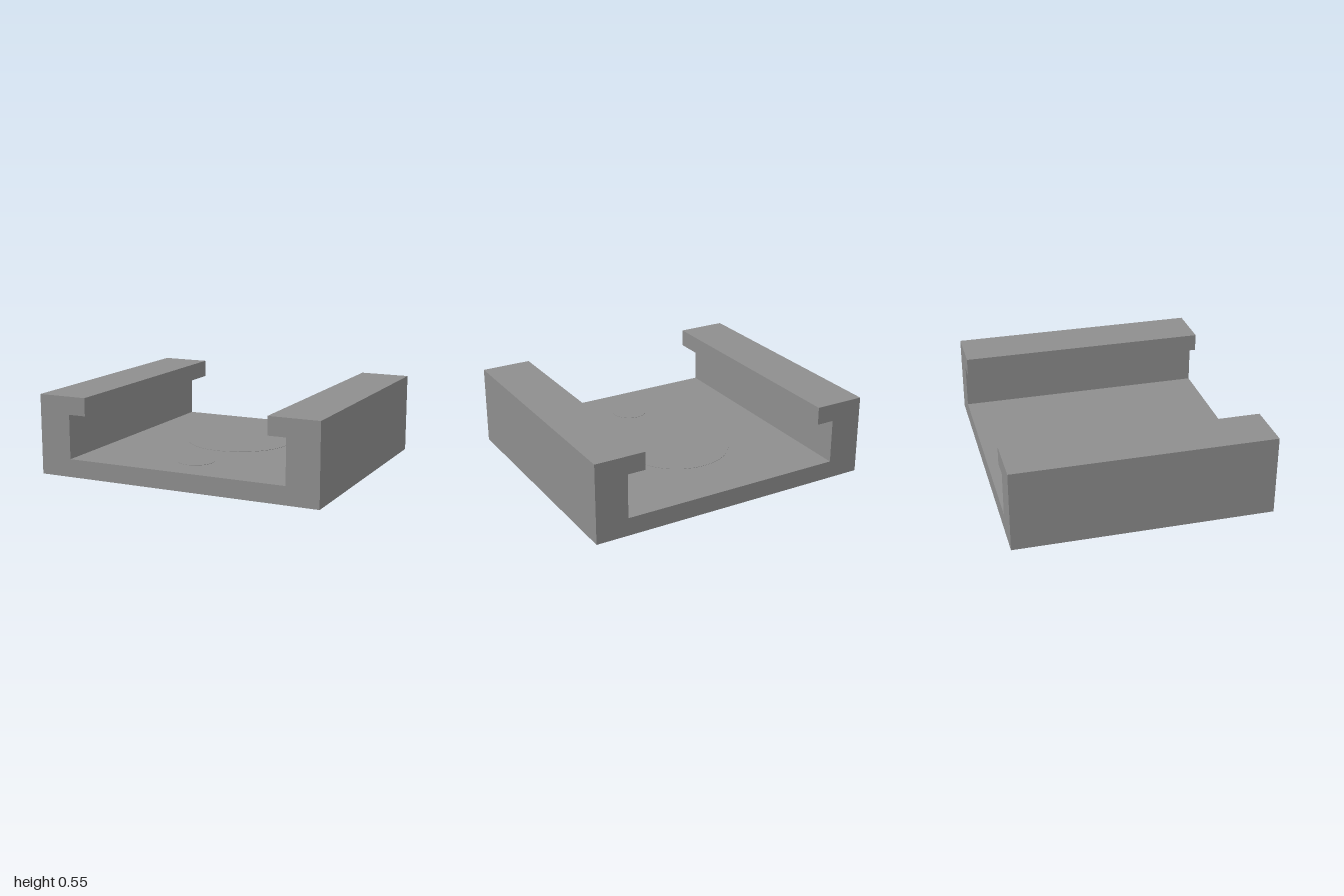
import * as THREE from 'three';

const HALF_DEPTH = 0.872, FLOOR = 0.123, WALL = 0.777, LIP = 0.654, TOP = 0.547, LIP_UNDER = 0.425;
const PAD_RISE = 0.002, PAD_HEIGHT = 0.04, SEGMENTS = 32;

export function createModel() {
  const group = new THREE.Group();
  const material = new THREE.MeshStandardMaterial({ color: 0x8e8e8e, flatShading: true });
  const add = (name, geometry) => {
    const mesh = new THREE.Mesh(geometry, material);
    mesh.name = name;
    group.add(mesh);
    return mesh;
  };

  // Channel: base with two side walls and inward lips, one profile run along z
  const half = [[1, 0], [1, TOP], [LIP, TOP], [LIP, LIP_UNDER], [WALL, LIP_UNDER], [WALL, FLOOR]];
  const outline = [...half, ...half.map(([x, y]) => [-x, y]).reverse()];
  const profile = new THREE.Shape(outline.map(([x, y]) => new THREE.Vector2(x, y)));
  const channel = new THREE.ExtrudeGeometry(profile, { depth: 2 * HALF_DEPTH, bevelEnabled: false });
  channel.translate(0, 0, -HALF_DEPTH);
  add('channel', channel);

  // Round inserts set in the floor, standing a hair above it
  const addInsert = (name, radius, z) => {
    const disc = new THREE.CylinderGeometry(radius, radius, PAD_HEIGHT, SEGMENTS);
    add(name, disc).position.set(0, FLOOR + PAD_RISE - PAD_HEIGHT / 2, z);
  };
  addInsert('largeInsert', 0.367, -0.131);
  addInsert('smallInsert', 0.123, 0.552);

  return group;
}
